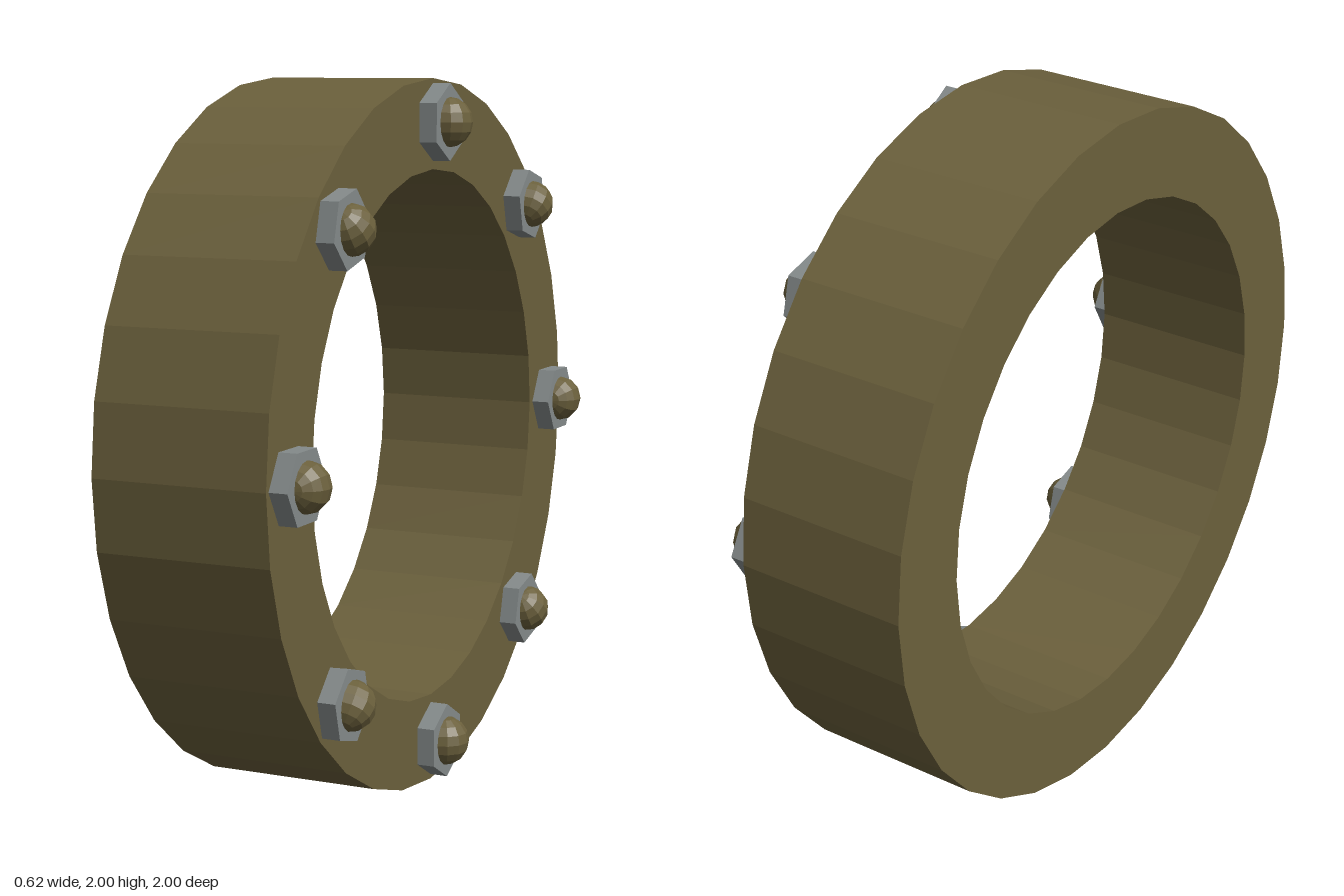
import * as THREE from 'three';

export function createModel() {
  const model = new THREE.Group();
  const brass = new THREE.MeshStandardMaterial({ color: 0x6b603c, flatShading: true });
  const steel = new THREE.MeshStandardMaterial({ color: 0x848a8a, flatShading: true });

  const add = (parent, name, geometry, material) => {
    const mesh = new THREE.Mesh(geometry, material);
    mesh.name = name;
    parent.add(mesh);
    return mesh;
  };

  // Faceted ring with a rectangular section, its axis along x
  const section = [[0.75, -0.31], [1, -0.31], [1, 0.19], [0.75, 0.19], [0.75, -0.31]]
    .map(([r, h]) => new THREE.Vector2(r, h));
  const ring = new THREE.LatheGeometry(section, 32).rotateZ(-Math.PI / 2);
  add(model, 'ring', ring, brass).position.y = 1;

  // Hexagonal nut with one corner pointing outward, and a rounded bolt end
  const nut = new THREE.CylinderGeometry(0.107, 0.107, 0.052, 6)
    .rotateY(Math.PI / 6).rotateZ(-Math.PI / 2);
  const dome = new THREE.SphereGeometry(0.07, 12, 8);

  // Eight bolts around the +x face
  for (let i = 0; i < 8; i++) {
    const bolt = new THREE.Group();
    bolt.name = `bolt${i + 1}`;
    bolt.position.y = 1;
    bolt.rotation.x = (i * Math.PI) / 4;
    add(bolt, 'nut', nut, steel).position.set(0.216, 0.88, 0);
    add(bolt, 'boltEnd', dome, brass).position.set(0.235, 0.88, 0);
    model.add(bolt);
  }
  return model;
}
